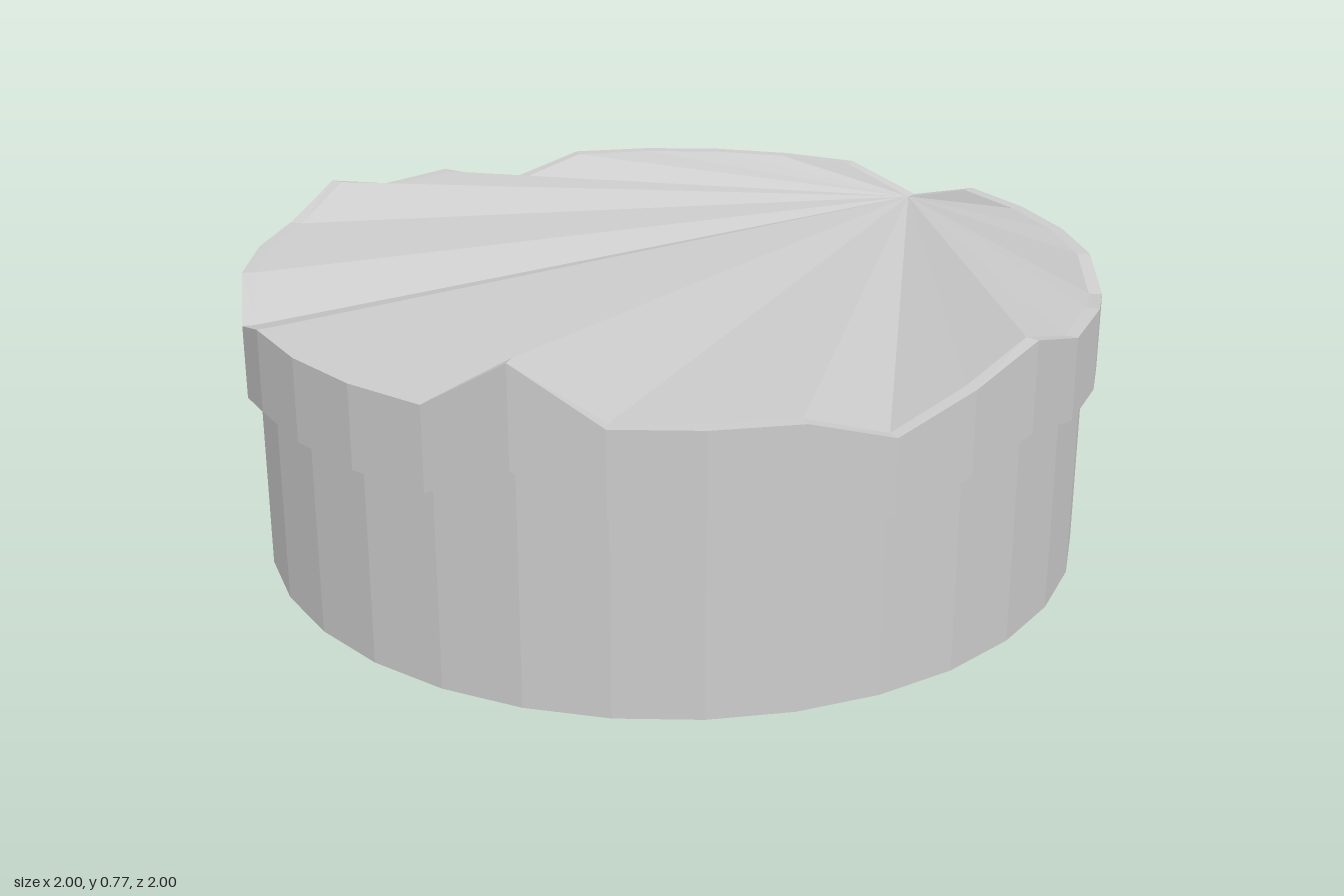
import * as THREE from 'three';

const SIDES = 32;
const BODY_R = 0.97;
const RIM_R = 1;
const RIM_LOW = 0.463;
const RIM_HIGH = 0.655;

// Height offset of the wavy rim at the few corners that leave the level;
// corners count from +z towards +x
const WAVE = { 1: 0.12, 5: -0.06, 7: 0.055, 10: -0.033, 15: -0.06, 21: -0.06, 24: 0.055, 28: -0.06 };
const wave = (k) => WAVE[k] ?? 0;
const low = (k) => RIM_LOW + 0.7 * wave(k);
const high = (k) => RIM_HIGH + wave(k);

// One closed loop of corners; height is a function of the corner index
function ring(radius, height) {
  return Array.from({ length: SIDES }, (_, k) => {
    const a = (k / SIDES) * Math.PI * 2;
    return [radius * Math.sin(a), height(k), radius * Math.cos(a)];
  });
}

// Joins successive rings with flat quads
function band(rings) {
  const p = [];
  for (let r = 0; r + 1 < rings.length; r++) {
    const [a, b] = [rings[r], rings[r + 1]];
    for (let k = 0; k < SIDES; k++) {
      const n = (k + 1) % SIDES;
      p.push(a[k], a[n], b[n], a[k], b[n], b[k]);
    }
  }
  return p;
}

// Closes a ring with a fan that starts at one of its corners
function fan(loop, start, up) {
  const p = [];
  for (let i = 1; i < SIDES - 1; i++) {
    const b = loop[(start + i) % SIDES];
    const c = loop[(start + i + 1) % SIDES];
    p.push(loop[start], ...(up ? [b, c] : [c, b]));
  }
  return p;
}

function part(name, points, material) {
  const geometry = new THREE.BufferGeometry();
  geometry.setAttribute('position', new THREE.Float32BufferAttribute(points.flat(), 3));
  geometry.computeVertexNormals();
  const mesh = new THREE.Mesh(geometry, material);
  mesh.name = name;
  return mesh;
}

export function createModel() {
  const group = new THREE.Group();
  group.name = 'wavyRimmedDisc';
  const material = new THREE.MeshStandardMaterial({ color: 0xcccccc, flatShading: true });

  // Straight drum with a flat underside
  const base = ring(BODY_R, () => 0);
  const neck = ring(BODY_R, low);
  group.add(part('body', [...fan(base, 0, false), ...band([base, neck])], material));

  // Overhanging rim: underside lip, outer wall and narrow top edge
  const edge = ring(BODY_R, high);
  group.add(part('rim', band([neck, ring(RIM_R, low), ring(RIM_R, high), edge]), material));

  // Faceted top, fanned from the low corner at the back
  group.add(part('topSurface', fan(edge, 15, true), material));

  return group;
}
